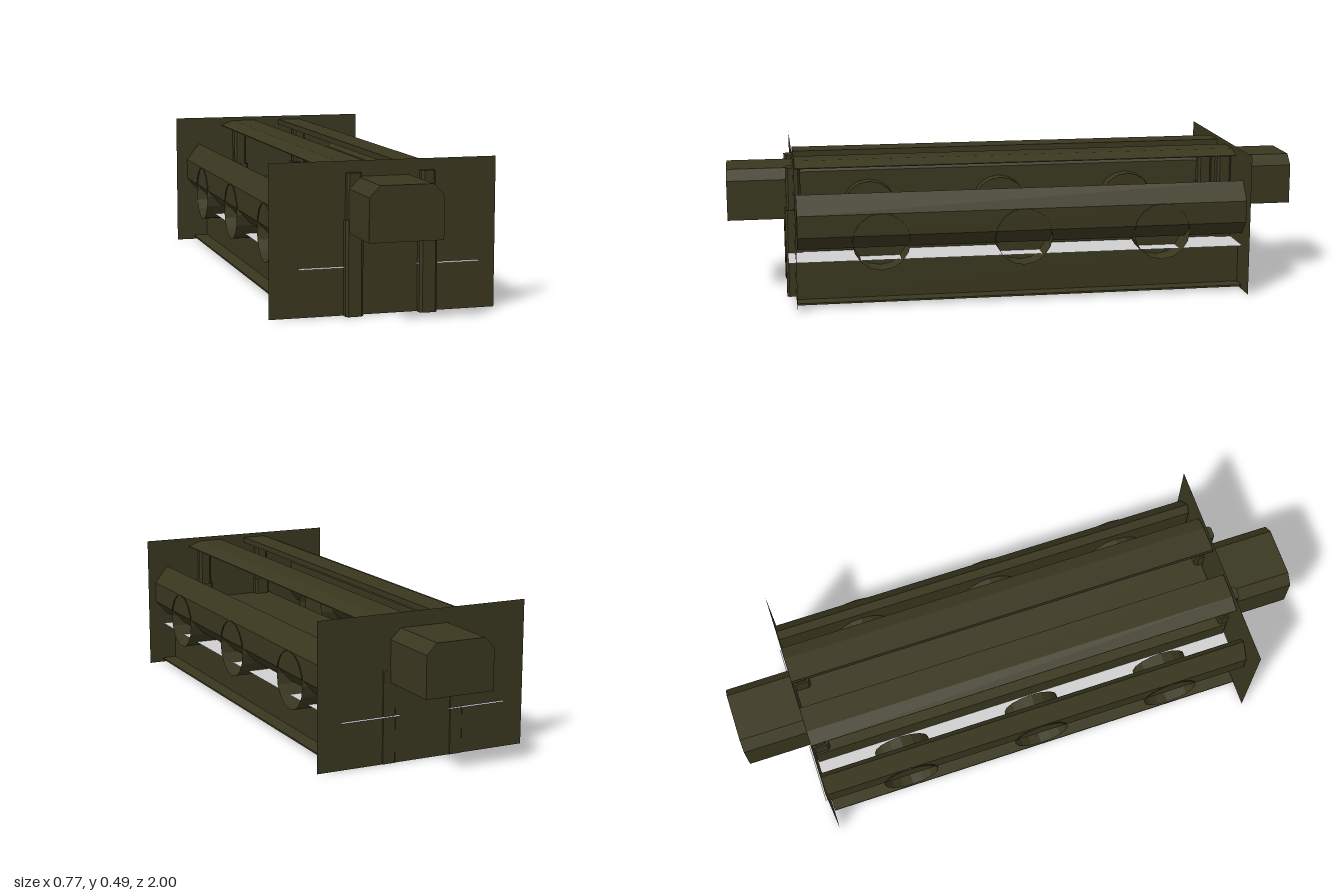
import * as THREE from 'three';

const olive = new THREE.MeshStandardMaterial({ color: 0x39371f, flatShading: true, side: THREE.DoubleSide });
olive.name = 'olive';
const grey = new THREE.MeshStandardMaterial({ color: 0xcfcfcf, side: THREE.DoubleSide });
grey.name = 'light grey';

// Extrudes an x-y outline along z from z0 to z1
function prism(name, points, z0, z1) {
  const shape = new THREE.Shape(points.map(([x, y]) => new THREE.Vector2(x, y)));
  const geometry = new THREE.ExtrudeGeometry(shape, { depth: z1 - z0, bevelEnabled: false });
  geometry.translate(0, 0, z0);
  const mesh = new THREE.Mesh(geometry, olive);
  mesh.name = name;
  return mesh;
}

// Upright bar with chamfered vertical edges
function post(name, x, z, width, depth, y0, y1) {
  const c = 0.008, w = width / 2, d = depth / 2;
  const outline = [[-w + c, -d], [w - c, -d], [w, -d + c], [w, d - c], [w - c, d], [-w + c, d], [-w, d - c], [-w, -d + c]];
  const mesh = prism(name, outline, 0, y1 - y0);
  mesh.rotation.x = -Math.PI / 2;
  mesh.position.set(x, y0, z);
  return mesh;
}

function box(name, x0, x1, y0, y1, z0, z1) {
  return prism(name, [[x0, y0], [x1, y0], [x1, y1], [x0, y1]], z0, z1);
}

export function createModel() {
  const model = new THREE.Group();
  model.name = 'rack';
  const centre = 0.007;

  // Ends: thin plate, projecting housing and two stepped posts
  for (const end of [1, -1]) {
    const label = end > 0 ? 'front' : 'back';

    const plate = new THREE.Mesh(new THREE.PlaneGeometry(0.746, 0.488), olive);
    plate.name = label + 'Plate';
    plate.position.set(-0.01 * end, 0.244, end * 0.775);
    model.add(plate);

    const w = 0.119, c = 0.035;
    const outline = [[-w, 0.265], [w, 0.265], [w, 0.438 - c], [w - c, 0.438], [-w + c, 0.438], [-w, 0.438 - c]];
    const housing = prism(label + 'Housing', outline, end > 0 ? 0.775 : -1, end > 0 ? 1 : -0.775);
    housing.position.x = end > 0 ? -0.012 : 0.008;
    model.add(housing);

    for (const side of [1, -1]) {
      const x = 0.009 + side * 0.122;
      const z = end > 0 ? 0.775 : -0.747;
      model.add(post(label + 'PostLower', x, z, 0.058, 0.06, 0, 0.305));
      model.add(post(label + 'PostUpper', x, z, 0.047, 0.05, 0.305, 0.452));
    }
  }

  // Central body under the open middle
  model.add(box('body', centre - 0.155, centre + 0.155, 0.159, 0.245, -0.773, 0.77));

  // Sides: roof strip, tray, faceted rail, rings, lower channel and flange
  for (const side of [1, -1]) {
    const group = new THREE.Group();
    group.name = side > 0 ? 'leftSide' : 'rightSide';
    const mirror = points => points.map(([x, y]) => [side * x, y]);

    group.add(prism('roofStrip', mirror([[0.05, 0.454], [0.186, 0.454], [0.186, 0.457],
      [0.138, 0.474], [0.05, 0.474]]), -0.775, 0.77));

    const tray = new THREE.Mesh(new THREE.PlaneGeometry(0.21, 1.59), grey);
    tray.name = 'tray';
    tray.rotation.x = -Math.PI / 2;
    tray.position.set(side * 0.193, 0.156, 0.005);
    group.add(tray);

    group.add(prism('rail', mirror([[0.258, 0.235], [0.284, 0.198], [0.328, 0.247], [0.328, 0.322],
      [0.28, 0.385], [0.258, 0.358]]), -0.775, 0.77));

    group.add(box('lowerChannel', side * 0.15, side * 0.25, 0.01, 0.153, -0.773, 0.773));
    group.add(box('flange', side * 0.25, side * 0.303, 0.01, 0.016, -0.773, 0.773));

    for (const z of [-0.477, 0.005, 0.49]) {
      const ring = new THREE.Mesh(new THREE.CylinderGeometry(0.098, 0.098, 0.123, 16, 1, true), olive);
      ring.name = 'ring';
      ring.rotation.z = Math.PI / 2;
      ring.position.set(side * 0.27, 0.226, z);
      group.add(ring);

      const web = new THREE.Mesh(new THREE.CircleGeometry(0.098, 16), olive);
      web.name = 'ringWeb';
      web.rotation.y = Math.PI / 2;
      web.position.set(side * 0.235, 0.226, z);
      group.add(web);
    }
    group.position.x = centre;
    model.add(group);
  }
  return model;
}
